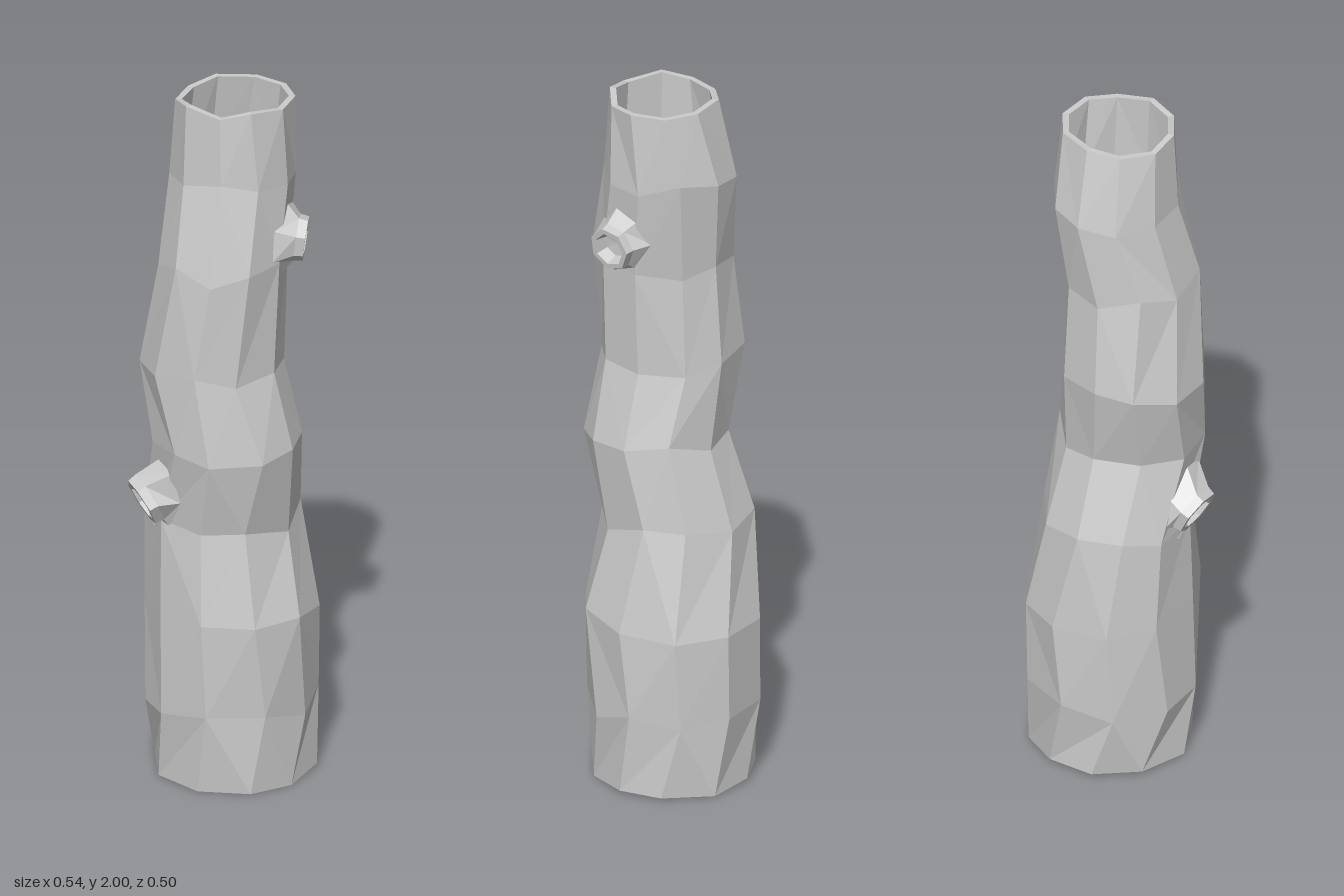
import * as THREE from 'three';

const SIDES = 10;

// Trunk sections: y, xMin, xMax, zMin, zMax, twist, wall thickness
const SECTIONS = [
  [0.01, -0.195, 0.262, -0.225, 0.232, 0.20, 0.032],
  [0.22, -0.212, 0.268, -0.24, 0.242, 0.00, 0.032],
  [0.48, -0.212, 0.272, -0.252, 0.256, 0.08, 0.032],
  [0.76, -0.208, 0.22, -0.22, 0.205, 0.00, 0.03],
  [1.00, -0.21, 0.208, -0.145, 0.256, -0.08, 0.027],
  [1.23, -0.236, 0.165, -0.188, 0.222, -0.02, 0.025],
  [1.52, -0.195, 0.168, -0.158, 0.236, -0.10, 0.024],
  [1.77, -0.148, 0.202, -0.176, 0.202, -0.04, 0.022],
  [1.99, -0.137, 0.196, -0.126, 0.19, 0.02, 0.018],
];

function seeded(seed) {
  let s = seed;
  return () => (s = (s * 16807) % 2147483647) / 2147483647;
}

// Point on the trunk at an angle (from +x towards +z), moved inwards by inset
function onSection([y, x0, x1, z0, z1], angle, inset = 0) {
  return new THREE.Vector3(
    (x0 + x1) / 2 + ((x1 - x0) / 2 - inset) * Math.cos(angle), y,
    (z0 + z1) / 2 + ((z1 - z0) / 2 - inset) * Math.sin(angle));
}

function sectionAt(y) {
  let i = 0;
  while (i < SECTIONS.length - 2 && SECTIONS[i + 1][0] < y) i++;
  const a = SECTIONS[i], b = SECTIONS[i + 1];
  const t = (y - a[0]) / (b[0] - a[0]);
  return a.map((v, k) => v + (b[k] - v) * t);
}

// Joins consecutive rings of points with faceted quads
function loft(rings) {
  const pos = [];
  const tri = (...pts) => pts.forEach(p => pos.push(p.x, p.y, p.z));
  for (let i = 0; i < rings.length - 1; i++) {
    const a = rings[i], b = rings[i + 1], n = a.length;
    for (let j = 0; j < n; j++) {
      const k = (j + 1) % n;
      if ((i + j) % 3) {
        tri(a[j], b[j], a[k]);
        tri(a[k], b[j], b[k]);
      } else {
        tri(a[j], b[j], b[k]);
        tri(a[j], b[k], a[k]);
      }
    }
  }
  const g = new THREE.BufferGeometry();
  g.setAttribute('position', new THREE.Float32BufferAttribute(pos, 3));
  g.computeVertexNormals();
  return g;
}

// Hollow trunk: outside upwards, over the rim, inside downwards, closed below
function trunkGeometry() {
  const rand = seeded(77);
  const outer = [], inner = [];
  SECTIONS.forEach((s, i) => {
    const isEnd = i === 0 || i === SECTIONS.length - 1;
    const o = [], n = [];
    for (let j = 0; j < SIDES; j++) {
      const angle = Math.PI / 2 + (j / SIDES) * Math.PI * 2 + s[5] + (rand() - 0.5) * 0.12;
      const dy = (rand() - 0.5) * (isEnd ? 0.018 : 0.05);
      const dent = rand() * 0.008;
      for (const [ring, inset] of [[o, dent], [n, dent + s[6]]]) {
        const p = onSection(s, angle, inset);
        p.y += dy;
        ring.push(p);
      }
    }
    outer.push(o);
    inner.push(n);
  });
  return loft([...outer, ...inner.reverse(), outer[0]]);
}

// Broken branch stub: base follows the trunk, tip is a rim around a hollow
function knotGeometry({ y, angle, spread, height, tip, dir, radius }) {
  const n = 7;
  const d = new THREE.Vector3(...dir).normalize();
  const up = new THREE.Vector3(0, 1, 0);
  const v = up.clone().addScaledVector(d, -up.dot(d)).normalize();
  const u = new THREE.Vector3().crossVectors(d, v);
  const base = [];
  for (let j = 0; j < n; j++) {
    const a = (j / n) * Math.PI * 2 + 0.4;
    base.push(onSection(sectionAt(y + Math.sin(a) * height), angle + Math.cos(a) * spread, 0.014));
  }
  const ring = (r, along) => base.map((_, j) => {
    const a = (j / n) * Math.PI * 2 + 0.4;
    return new THREE.Vector3(...tip).addScaledVector(d, along)
      .addScaledVector(u, Math.cos(a) * r).addScaledVector(v, Math.sin(a) * r);
  });
  return loft([base, ring(radius * 1.06, -0.025), ring(radius, 0), ring(radius * 0.76, 0),
    ring(radius * 0.6, -0.035), ring(0, -0.04)]);
}

export function createModel() {
  const group = new THREE.Group();
  group.name = 'hollowLog';
  const material = new THREE.MeshStandardMaterial({
    color: 0xcccccc, flatShading: true, side: THREE.DoubleSide,
  });
  const add = (name, geometry) => {
    const mesh = new THREE.Mesh(geometry, material);
    mesh.name = name;
    group.add(mesh);
  };

  add('trunk', trunkGeometry());
  add('upperKnot', knotGeometry({
    y: 1.6, angle: 0.55, spread: 0.55, height: 0.1,
    tip: [0.19, 1.59, 0.148], dir: [0.85, -0.12, 0.4], radius: 0.062,
  }));
  add('lowerKnot', knotGeometry({
    y: 0.84, angle: Math.PI - 0.1, spread: 0.48, height: 0.11,
    tip: [-0.24, 0.82, 0.022], dir: [-0.88, -0.45, 0.02], radius: 0.07,
  }));
  return group;
}
